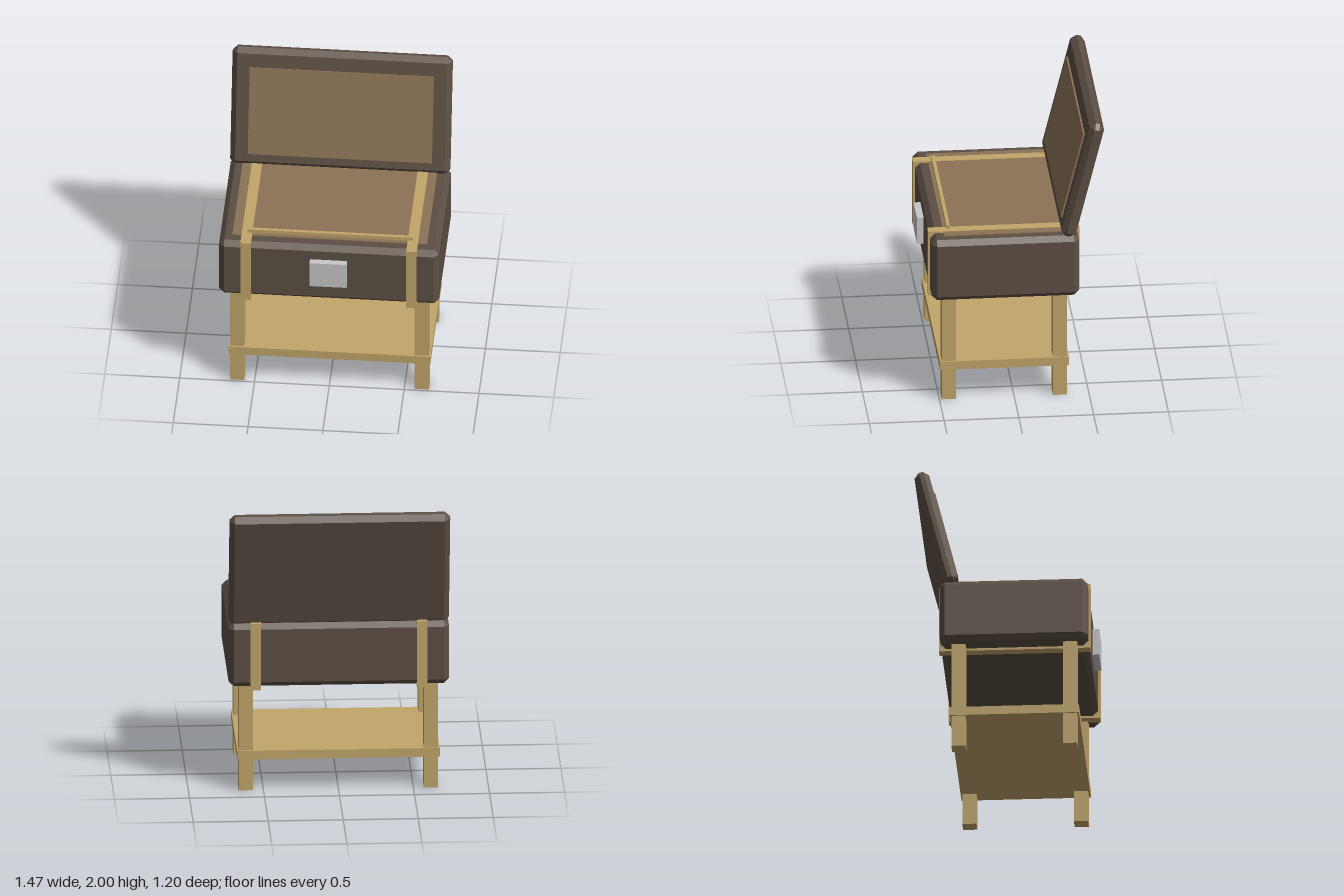
import * as THREE from 'three';
import { ConvexGeometry } from 'three/addons/geometries/ConvexGeometry.js';

const material = (name, color) => {
  const m = new THREE.MeshStandardMaterial({ color });
  m.name = name;
  return m;
};

// Box with all twelve edges chamfered by c
function chamferedBox(w, h, d, c) {
  const points = [];
  for (const sx of [-1, 1]) for (const sy of [-1, 1]) for (const sz of [-1, 1]) {
    for (let full = 0; full < 3; full++) {
      const inset = [c, c, c];
      inset[full] = 0;
      points.push(new THREE.Vector3(
        sx * (w / 2 - inset[0]), sy * (h / 2 - inset[1]), sz * (d / 2 - inset[2])));
    }
  }
  return new ConvexGeometry(points);
}

export function createModel() {
  const model = new THREE.Group();
  model.name = 'openCaseOnStand';

  const leather = material('dark leather', 0x5c4f44);
  const lining = material('tan lining', 0x8b7355);
  const wood = material('light wood', 0xc2a66b);
  const metal = material('silver metal', 0xc8c8c8);

  const add = (name, geometry, mat, x, y, z, parent = model) => {
    const mesh = new THREE.Mesh(geometry, mat);
    mesh.name = name;
    mesh.position.set(x, y, z);
    parent.add(mesh);
    return mesh;
  };
  // Box given by its lower and upper corners
  const addBox = (name, mat, [x0, y0, z0], [x1, y1, z1], parent) =>
    add(name, new THREE.BoxGeometry(x1 - x0, y1 - y0, z1 - z0), mat,
      (x0 + x1) / 2, (y0 + y1) / 2, (z0 + z1) / 2, parent);

  // Case body and its lining
  add('caseBody', chamferedBox(1.47, 0.44, 0.985, 0.035), leather, 0, 0.967, 0.0625);
  addBox('caseLining', lining, [-0.65, 1.1, -0.342], [0.65, 1.194, 0.467]);

  // Straps round the case, and the legs
  for (const side of [-1, 1]) {
    const label = side > 0 ? 'left' : 'right';
    add(label + 'Strap', new THREE.BoxGeometry(0.07, 0.467, 1.01), wood,
      side * 0.554, 0.9645, 0.063);
    for (const [end, z] of [['Front', 0.437], ['Back', -0.307]]) {
      add(label + end + 'Leg', new THREE.BoxGeometry(0.095, 0.75, 0.095), wood,
        side * 0.617, 0.375, z);
    }
  }

  // Cross bar, clasp and shelf
  addBox('crossBar', wood, [-0.553, 1.196, 0.419], [0.553, 1.222, 0.443]);
  addBox('clasp', metal, [-0.124, 0.895, 0.54], [0.124, 1.085, 0.6]);
  addBox('shelf', wood, [-0.675, 0.22, -0.366], [0.675, 0.28, 0.497]);

  // Open lid, leaning back
  const lid = new THREE.Group();
  lid.name = 'lid';
  lid.position.set(0, 1.586, -0.455);
  lid.rotation.x = -THREE.MathUtils.degToRad(14);
  add('lidShell', chamferedBox(1.47, 0.846, 0.1, 0.035), leather, 0, 0, 0, lid);
  addBox('lidLining', lining, [-0.615, -0.331, 0.03], [0.615, 0.292, 0.062], lid);
  model.add(lid);

  return model;
}
